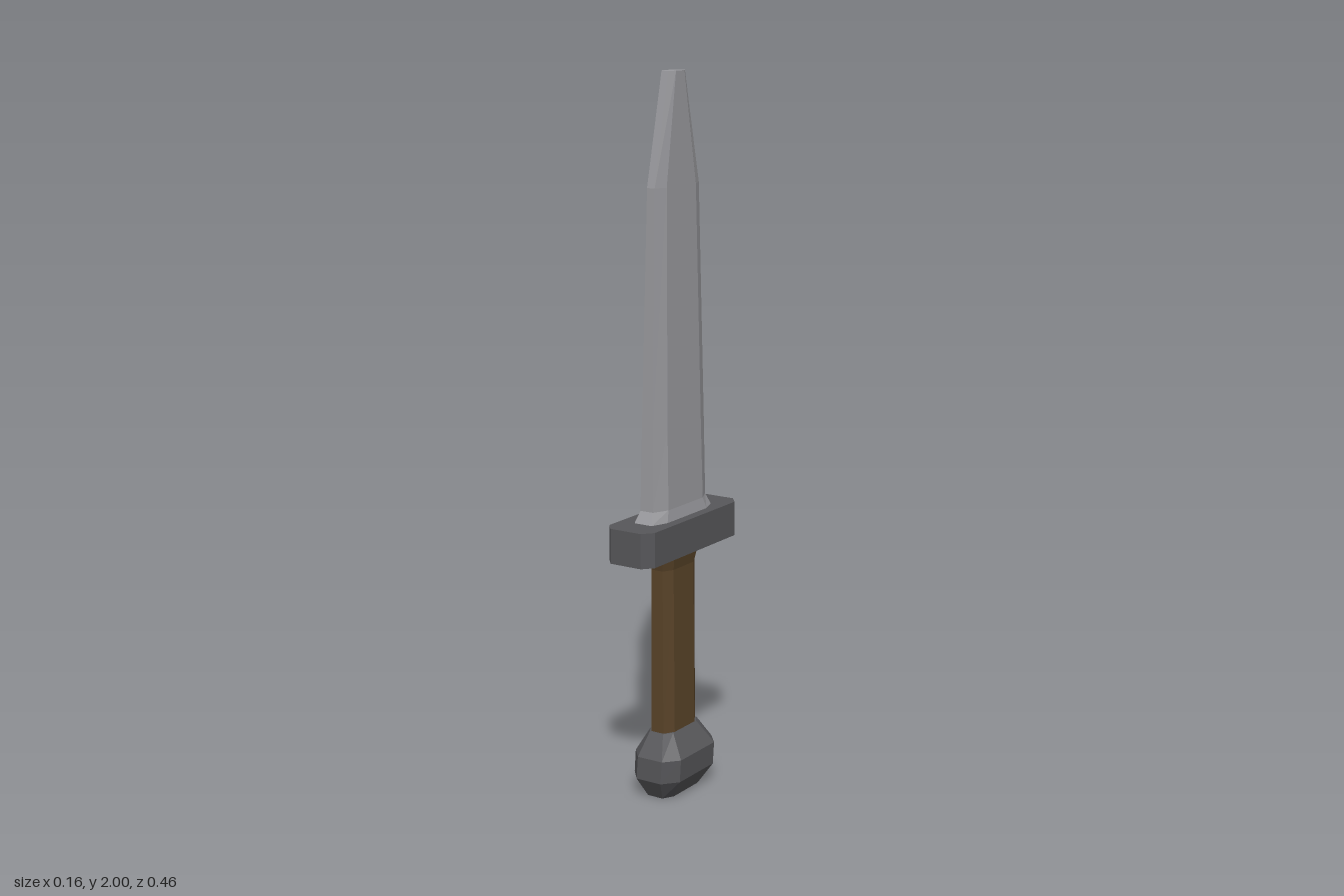
import * as THREE from 'three';

// Chamfered-rectangle rings joined from bottom to top and capped.
// Ring: [y, half width x, half width of the end face, half depth z, half depth of the side face, x shift]
function loft(name, color, rings) {
  const pos = [];
  const loops = rings.map(([y, hx, ex, hz, cz, dx = -0.004]) =>
    [[hx, cz], [hx, -cz], [ex, -hz], [-ex, -hz], [-hx, -cz], [-hx, cz], [-ex, hz], [ex, hz]]
      .map(([x, z]) => [x + dx, y, z]));
  const tri = (a, b, c) => pos.push(...a, ...b, ...c);
  for (let r = 0; r < loops.length - 1; r++) {
    const lo = loops[r], hi = loops[r + 1];
    for (let i = 0; i < 8; i++) {
      const j = (i + 1) % 8;
      tri(lo[i], lo[j], hi[j]);
      tri(lo[i], hi[j], hi[i]);
    }
  }
  const bottom = loops[0], top = loops[loops.length - 1];
  for (let i = 1; i < 7; i++) {
    tri(bottom[0], bottom[i + 1], bottom[i]);
    tri(top[0], top[i], top[i + 1]);
  }
  const geometry = new THREE.BufferGeometry();
  geometry.setAttribute('position', new THREE.Float32BufferAttribute(pos, 3));
  geometry.computeVertexNormals();
  const mesh = new THREE.Mesh(geometry, new THREE.MeshStandardMaterial({ color, flatShading: true }));
  mesh.name = name;
  return mesh;
}

export function createModel() {
  const group = new THREE.Group();
  group.name = 'dagger';

  // Rounded pommel
  group.add(loft('pommel', 0x57575a, [
    [0, 0.042, 0.024, 0.092, 0.06],
    [0.058, 0.076, 0.04, 0.128, 0.085, -0.002],
    [0.123, 0.076, 0.04, 0.127, 0.085, 0.002],
    [0.187, 0.038, 0.022, 0.085, 0.058],
  ]));

  // Grip with a flared collar under the guard
  group.add(loft('grip', 0x5a4429, [
    [0.18, 0.038, 0.02, 0.08, 0.05],
    [0.655, 0.034, 0.018, 0.08, 0.05],
    [0.705, 0.043, 0.025, 0.092, 0.058],
  ]));

  // Crossguard
  group.add(loft('crossguard', 0x57575a, [
    [0.703, 0.074, 0.049, 0.23, 0.2],
    [0.8, 0.074, 0.049, 0.23, 0.2],
  ]));

  // Tapered blade with a blunt tip
  group.add(loft('blade', 0x9a9a9e, [
    [0.8, 0.046, 0.028, 0.147, 0.097],
    [0.832, 0.041, 0.02, 0.13, 0.085],
    [1.05, 0.036, 0.018, 0.125, 0.082],
    [1.7, 0.026, 0.012, 0.106, 0.07],
    [2, 0.022, 0.011, 0.039, 0.02],
  ]));

  return group;
}
